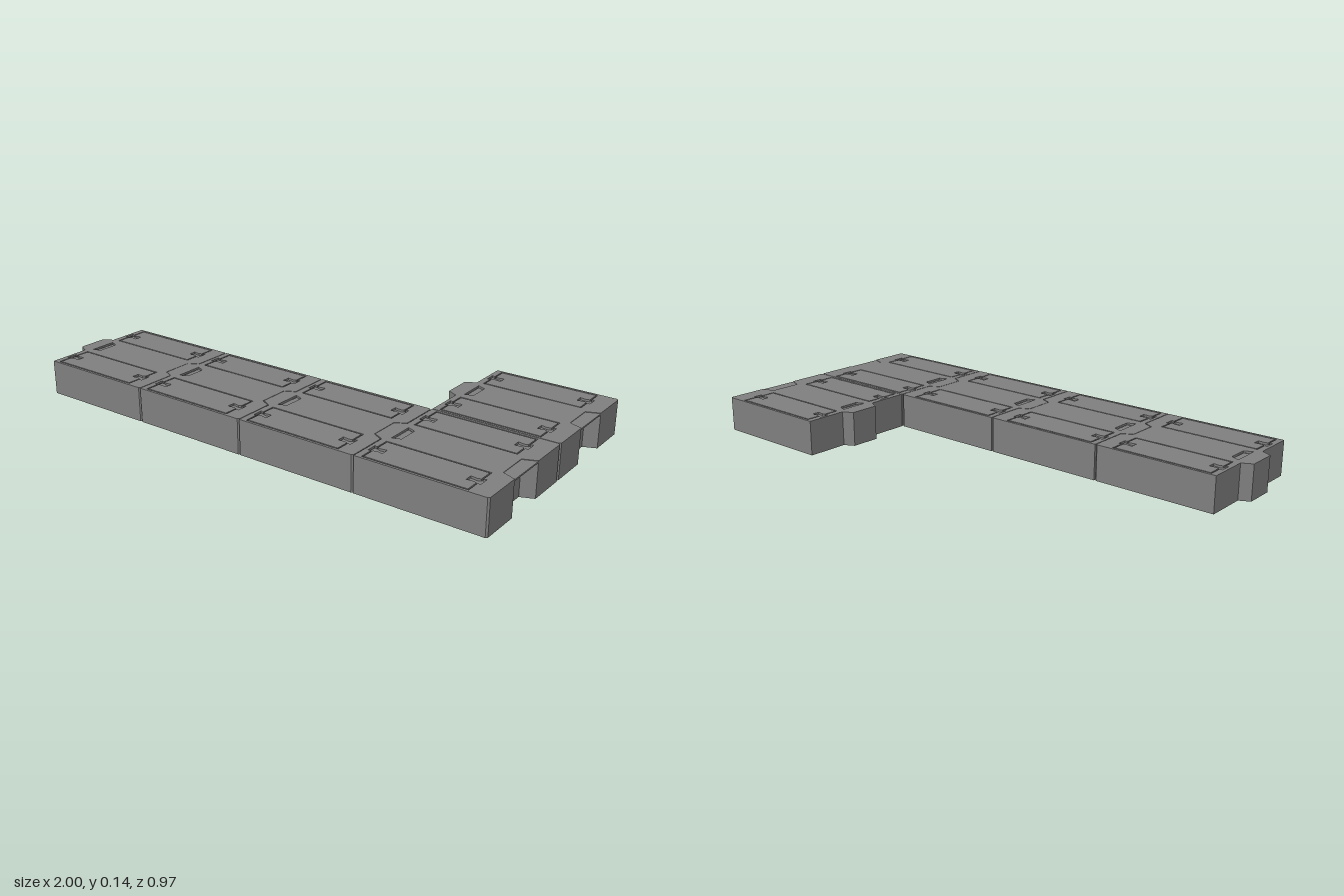
import * as THREE from 'three';

const HEIGHT = 0.137, GROOVE = 0.008, DECK = HEIGHT - GROOVE;
const PITCH = 0.488, HALF = 0.242, TAB = 0.04, NOTCH = 0.446;
const PANEL_L = 0.024, PANEL_R = 0.419, PANEL_V = 0.1585, PANEL_H = 0.0735;
const LIP = 0.005, CHAMFER = 0.006;

const material = new THREE.MeshStandardMaterial({ color: 0x808080, flatShading: true, side: THREE.DoubleSide });

const toVectors = (points, dy = 0) => points.map(([x, y]) => new THREE.Vector2(x, y + dy));

// Completes an outline given its left half from bottom to top, mirrored about the panel's middle.
function mirrorOutline(left) {
  const right = left.map(([x, y]) => [PANEL_L + PANEL_R - x, y]).reverse();
  return [...left, ...right];
}

// Outer edge of the groove round a panel, bulging out at the latches.
const grooveOutline = mirrorOutline([
  [PANEL_L, -PANEL_H], [PANEL_L, -0.017], [0.013, -0.021],
  [0.013, 0.021], [PANEL_L, 0.017], [PANEL_L, PANEL_H],
]);

// Raised panel inside the narrow groove, notched at the latches.
const inner = PANEL_L + LIP, innerH = PANEL_H - LIP;
const panelOutline = mirrorOutline([
  [inner, -innerH], [inner, -0.016], [0.04, -0.011], [0.066, -0.015],
  [0.066, 0.015], [0.04, 0.011], [inner, 0.016], [inner, innerH],
]);

// Finger pocket behind the tab.
const pocketOutline = [[0.022, -0.054], [0.054, -0.04], [0.054, 0.04], [0.022, 0.054]];

// Tile outline: a tab on one end and a matching notch on the other.
function tileOutline(width) {
  return [
    [0, -HALF], [width - CHAMFER, -HALF], [width, CHAMFER - HALF],
    [width, -0.0815], [NOTCH, -0.061], [NOTCH, 0.061], [width, 0.0815],
    [width, HALF - CHAMFER], [width - CHAMFER, HALF], [0, HALF],
    [0, 0.079], [-TAB, 0.058], [-TAB, -0.058], [0, -0.079],
  ];
}

function addMesh(parent, name, geometry) {
  const mesh = new THREE.Mesh(geometry, material);
  mesh.name = name;
  parent.add(mesh);
}

// Horizontal slab standing on the groove floor level.
function slab(shape, depth = GROOVE) {
  return new THREE.ExtrudeGeometry(shape, { depth, bevelEnabled: false })
    .rotateX(-Math.PI / 2).translate(0, DECK, 0);
}

// Thin vertical wall following an outline, open at the bottom.
function skirt(outline) {
  const positions = [], index = [], n = outline.length;
  outline.forEach(([x, y], i) => {
    positions.push(x, 0, -y, x, DECK, -y);
    const a = 2 * i, b = 2 * ((i + 1) % n);
    index.push(a, b, b + 1, a, b + 1, a + 1);
  });
  const geometry = new THREE.BufferGeometry();
  geometry.setAttribute('position', new THREE.Float32BufferAttribute(positions, 3));
  geometry.setIndex(index);
  const flat = geometry.toNonIndexed();
  flat.computeVertexNormals();
  return flat;
}

function createTile(width) {
  const tile = new THREE.Group();
  tile.name = 'tile';
  const outline = tileOutline(width);
  addMesh(tile, 'sideWalls', skirt(outline));

  // Deck plate, cut through for the grooves and the pocket
  const deck = new THREE.Shape(toVectors(outline));
  const recesses = [toVectors(pocketOutline)];
  for (const side of [-1, 1]) {
    recesses.push(toVectors(grooveOutline, side * PANEL_V));
    addMesh(tile, 'raisedPanel', slab(new THREE.Shape(toVectors(panelOutline, side * PANEL_V))));
  }
  recesses.forEach(points => deck.holes.push(new THREE.Path(points)));
  addMesh(tile, 'deckPlate', slab(deck));

  // Floors closing the cuts
  const floors = recesses.map(points => new THREE.Shape(points));
  addMesh(tile, 'grooveFloors', new THREE.ShapeGeometry(floors)
    .rotateX(-Math.PI / 2).translate(0, DECK - 0.0005, 0));

  // Thin ledge roofing the notch, just below the deck
  const ledge = [[NOTCH, -0.061], [width, -0.0815], [width, 0.0815], [NOTCH, 0.061]];
  addMesh(tile, 'notchLedge', slab(new THREE.Shape(toVectors(ledge)), GROOVE - 0.002));
  return tile;
}

export function createModel() {
  const model = new THREE.Group();
  model.name = 'interlockingTiles';

  // A row of four along the front and one behind the last
  const places = [[0, 1], [1, 1], [2, 1], [3, 1], [3, -1]];
  for (const [column, row] of places) {
    const tile = createTile(column === 3 ? 0.496 : 0.485);
    tile.position.set(-0.96 + column * PITCH, 0, row * 0.2435);
    model.add(tile);
  }
  return model;
}
